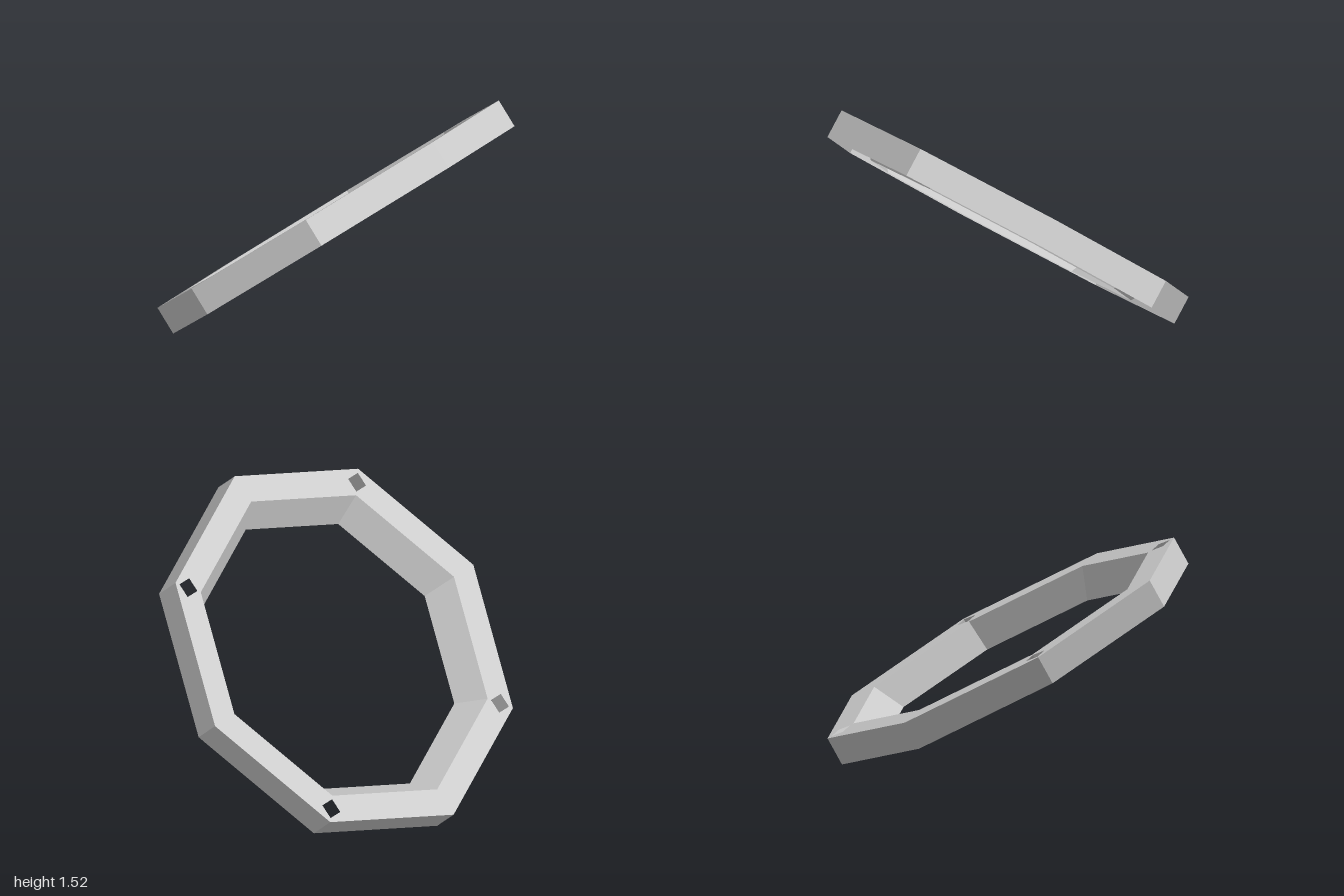
import * as THREE from 'three';

const SIDES = 8;
const DEPTH = 0.15;

// Regular polygon outline with a corner on the x axis
function polygon(Type, radius) {
  const points = [];
  for (let i = 0; i < SIDES; i++) {
    const a = (i / SIDES) * Math.PI * 2;
    points.push(new THREE.Vector2(Math.cos(a) * radius, Math.sin(a) * radius));
  }
  return new Type(points);
}

// Small square opening
function squareHole(x, y, half) {
  return new THREE.Path([
    new THREE.Vector2(x - half, y - half),
    new THREE.Vector2(x - half, y + half),
    new THREE.Vector2(x + half, y + half),
    new THREE.Vector2(x + half, y - half),
  ]);
}

export function createModel() {
  const model = new THREE.Group();
  model.name = 'octagonalFrame';
  const grey = new THREE.MeshStandardMaterial({
    color: 0xcccccc, flatShading: true, side: THREE.DoubleSide,
  });
  grey.name = 'light grey';

  // The channel is open underneath and leans 45 degrees
  const ring = new THREE.Group();
  ring.name = 'tiltedRing';
  ring.rotation.x = -Math.PI / 4;
  ring.position.y = (1 + DEPTH / 2) * Math.SQRT1_2;
  model.add(ring);

  const add = (name, geometry) => {
    const mesh = new THREE.Mesh(geometry, grey);
    mesh.name = name;
    ring.add(mesh);
  };

  // Upright outer wall and flared inner wall
  add('outerWall', new THREE.CylinderGeometry(1, 1, DEPTH, SIDES, 1, true));
  add('innerWall', new THREE.CylinderGeometry(0.85, 0.75, DEPTH, SIDES, 1, true));

  // Face plate with four square mounting holes
  const face = polygon(THREE.Shape, 1);
  face.holes.push(polygon(THREE.Path, 0.85));
  for (const sx of [-1, 1]) {
    for (const sy of [-1, 1]) face.holes.push(squareHole(sx * 0.653, sy * 0.653, 0.0375));
  }
  const plate = new THREE.ShapeGeometry(face);
  plate.rotateX(-Math.PI / 2);
  plate.translate(0, DEPTH / 2, 0);
  add('facePlate', plate);

  return model;
}
